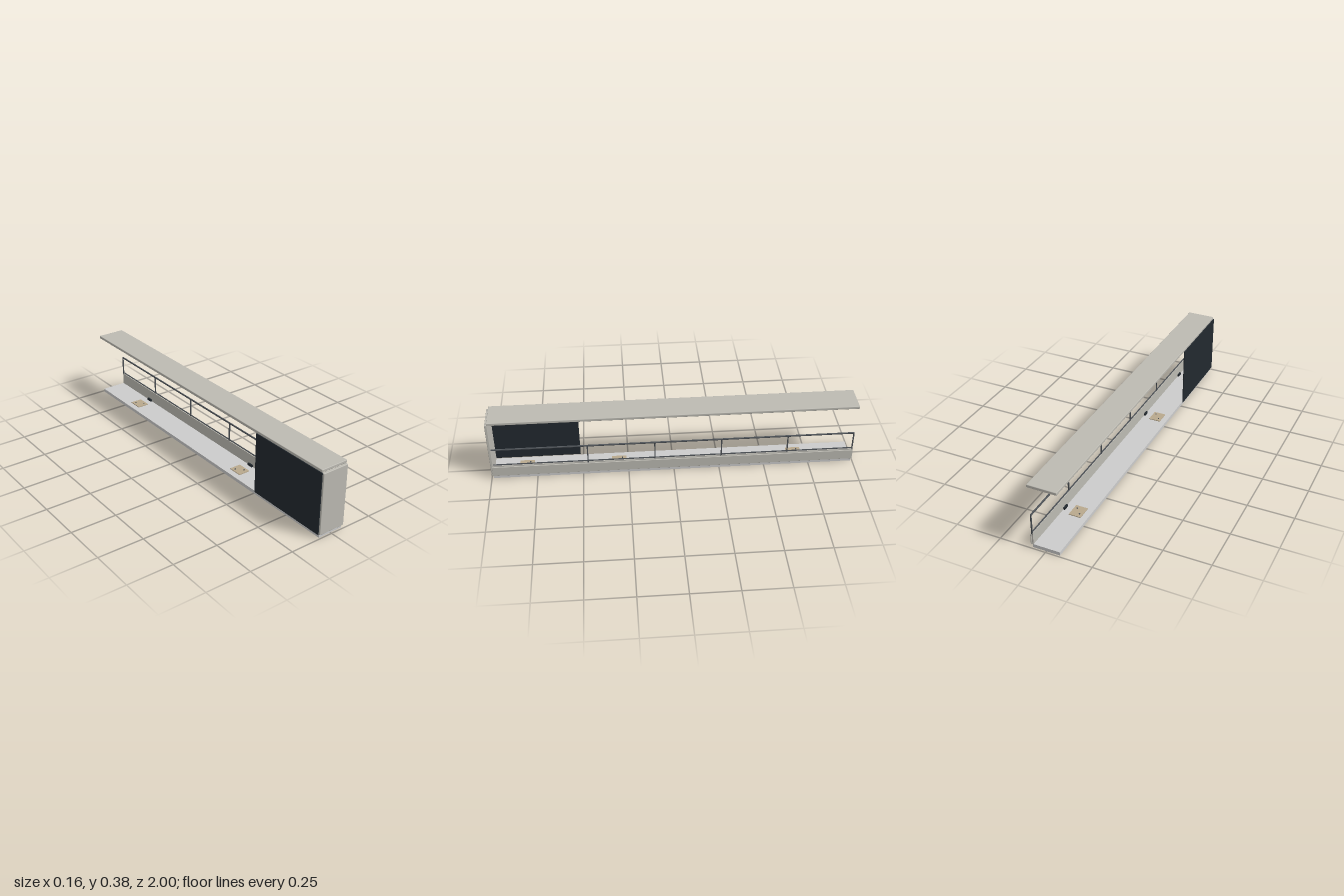
import * as THREE from 'three';
import { RoundedBoxGeometry } from 'three/addons/geometries/RoundedBoxGeometry.js';

const mat = (color) => new THREE.MeshStandardMaterial({ color });

export function createModel() {
  const model = new THREE.Group();
  const grey = mat(0xcccccc);
  const concrete = mat(0xbcbab2);
  const dark = mat(0x22292f);
  const metal = mat(0x4c5156);
  const wood = mat(0xb8a88c);

  const add = (name, geometry, material, x = 0, y = 0, z = 0, parent = model) => {
    const mesh = new THREE.Mesh(geometry, material);
    mesh.name = name;
    mesh.position.set(x, y, z);
    parent.add(mesh);
    return mesh;
  };
  // Box given by its limits on each axis, with optional rounded edges
  const box = (name, material, [x0, x1], [y0, y1], [z0, z1], radius = 0, parent = model) => {
    const size = [x1 - x0, y1 - y0, z1 - z0];
    const geometry = radius ? new RoundedBoxGeometry(...size, 2, radius) : new THREE.BoxGeometry(...size);
    return add(name, geometry, material, (x0 + x1) / 2, (y0 + y1) / 2, (z0 + z1) / 2, parent);
  };

  // Slabs and end wall
  box('floorSlab', grey, [-0.074, 0.073], [0, 0.019], [-0.99, 0.99]);
  box('roofSlab', concrete, [-0.079, 0.08], [0.36, 0.376], [-1, 0.988], 0.003);
  box('endWall', concrete, [-0.077, 0.076], [0.019, 0.36], [0.985, 1], 0.003);

  // Dark panel closing part of the back side
  box('sidePanel', dark, [-0.083, -0.077], [0.019, 0.362], [0.515, 0.992], 0.002);

  // Parapet with outer cladding and a thin cap
  box('parapetCore', concrete, [0.069, 0.076], [0.019, 0.086], [-0.99, 0.985]);
  box('parapetCladding', concrete, [0.076, 0.082], [0.021, 0.08], [-0.995, 0.992], 0.002);
  box('parapetCap', metal, [0.07, 0.076], [0.09, 0.094], [-0.99, 0.985]);

  // Railing above the parapet
  const railing = new THREE.Group();
  railing.name = 'railing';
  model.add(railing);
  box('handrail', metal, [0.069, 0.077], [0.19, 0.198], [-0.992, 0.985], 0.002, railing);
  for (let i = 0; i < 5; i++) {
    const z = 0.47 - i * 0.365;
    box('railPost', metal, [0.07, 0.076], [0.08, 0.192], [z - 0.003, z + 0.003], 0, railing);
  }

  // Floor plates, each with two studs and a small socket by the parapet
  for (const z of [-0.68, 0.3, 0.81]) {
    const plate = new THREE.Group();
    plate.name = 'floorPlate';
    plate.position.set(-0.008, 0.019, z);
    model.add(plate);
    box('plate', wood, [-0.033, 0.033], [0, 0.004], [-0.04, 0.04], 0, plate);
    for (const s of [-1, 1]) {
      add('stud', new THREE.CylinderGeometry(0.004, 0.004, 0.003, 12), metal, s * 0.016, 0.005, s * 0.018, plate);
    }
    box('socket', dark, [0.068, 0.077], [0, 0.013], [-0.016, 0.016], 0, plate);
  }

  // Round ceiling lights under the roof
  for (const z of [0.87, 0.44, -0.17, -0.76]) {
    add('ceilingLight', new THREE.CylinderGeometry(0.009, 0.009, 0.006, 20), metal, -0.015, 0.358, z);
  }
  return model;
}
